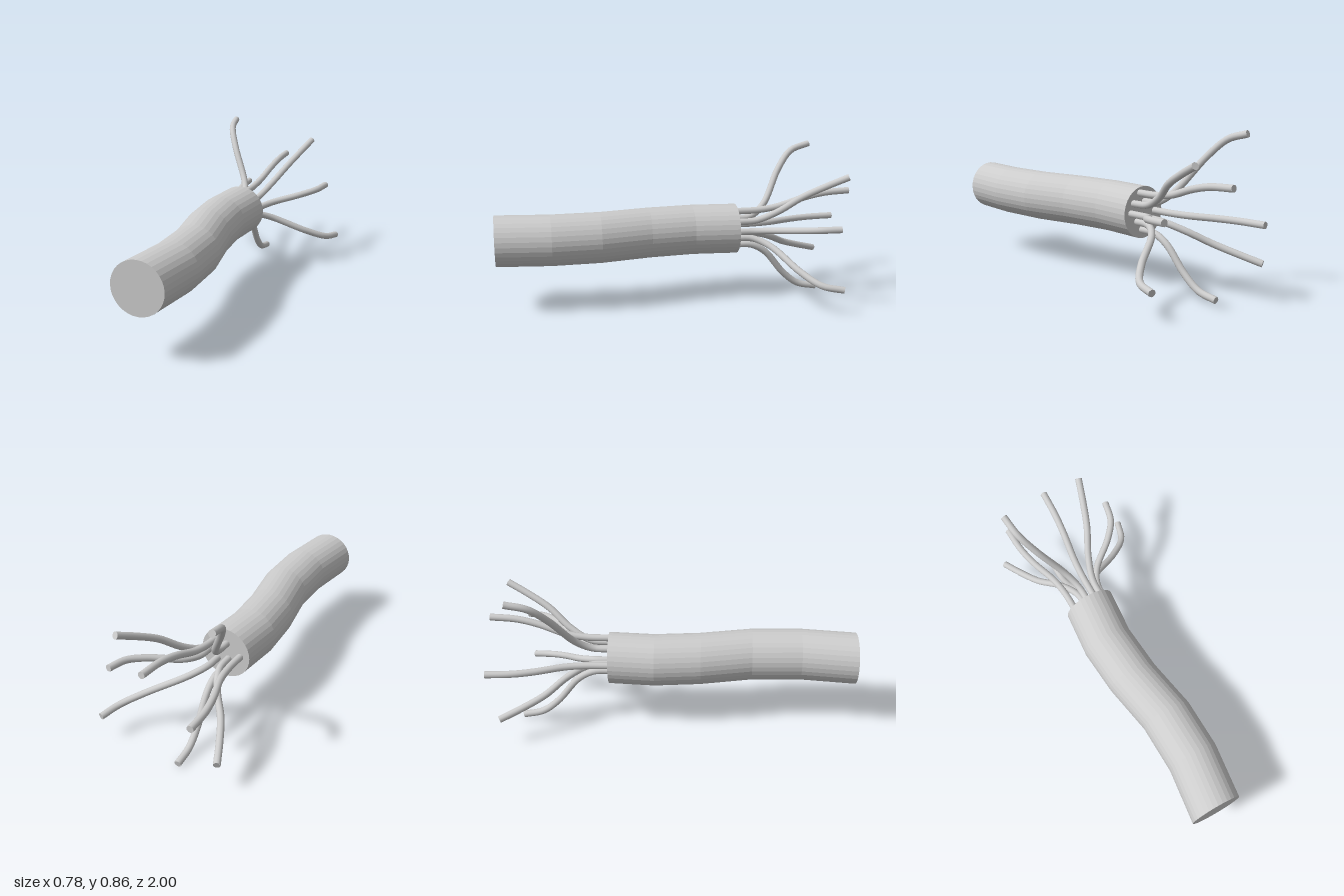
import * as THREE from 'three';

const AXIS_Y = 0.403, BODY_R = 0.141, WIRE_R = 0.019, BODY_END = -0.35;

// Ring centres of the bent sheath: [z, x]
const RINGS = [[1, -0.06], [0.7, -0.023], [0.43, -0.03], [0.15, -0.083], [-0.1, -0.104], [BODY_END, -0.084]];

// How a wire spreads: [fraction of length, fraction of spread]
const S_CURVE = [[0, 0], [0.2, 0.02], [0.37, 0.18], [0.6, 0.66], [0.78, 0.91], [1, 1]];
const LONG_CURVE = [[0, 0], [0.2, 0.03], [0.4, 0.24], [0.6, 0.57], [0.8, 0.8], [1, 1]];

// Wires: start x, y, then tip x, y, z, then spread curve
const WIRES = [
  [-0.09, 0.46, -0.313, 0.842, -0.85, S_CURVE],
  [-0.01, 0.457, 0.172, 0.73, -0.925, LONG_CURVE],
  [-0.055, 0.51, -0.021, 0.613, -1, S_CURVE],
  [0.01, 0.405, 0.293, 0.468, -0.85, S_CURVE],
  [-0.035, 0.357, 0.37, 0.148, -0.85, S_CURVE],
  [-0.072, 0.31, -0.094, 0.022, -0.85, S_CURVE],
  [-0.1, 0.372, -0.37, 0.177, -0.925, LONG_CURVE],
  [-0.17, 0.402, -0.277, 0.402, -1, S_CURVE],
];

export function createModel() {
  const group = new THREE.Group();
  const smooth = new THREE.MeshStandardMaterial({ color: 0xcccccc });
  const flat = new THREE.MeshStandardMaterial({ color: 0xcccccc, flatShading: true });

  // Sheath: a cylinder laid along z, each ring slid sideways
  const bodyGeo = new THREE.CylinderGeometry(BODY_R, BODY_R, RINGS.length - 1, 32, RINGS.length - 1);
  bodyGeo.rotateX(Math.PI / 2);
  const pos = bodyGeo.attributes.position;
  for (let i = 0; i < pos.count; i++) {
    const [z, x] = RINGS[Math.round((RINGS.length - 1) / 2 - pos.getZ(i))];
    pos.setXYZ(i, pos.getX(i) + x, pos.getY(i) + AXIS_Y, z);
  }
  bodyGeo.computeVertexNormals();
  const body = new THREE.Mesh(bodyGeo, flat);
  body.name = 'cableSheath';
  group.add(body);

  // Frayed wires fanning out of the back end
  WIRES.forEach(([x0, y0, x1, y1, z1, profile], i) => {
    const points = profile.map(([t, s]) => new THREE.Vector3(
      x0 + (x1 - x0) * s, y0 + (y1 - y0) * s, BODY_END + 0.01 + (z1 - BODY_END - 0.01) * t));
    const curve = new THREE.CatmullRomCurve3(points);
    const wire = new THREE.Group();
    wire.name = 'wire' + (i + 1);

    const strand = new THREE.Mesh(new THREE.TubeGeometry(curve, 28, WIRE_R, 12), smooth);
    strand.name = 'strand';
    const tip = new THREE.Mesh(new THREE.CircleGeometry(WIRE_R, 12), smooth);
    tip.name = 'cutTip';
    tip.position.copy(curve.getPoint(1));
    tip.quaternion.setFromUnitVectors(new THREE.Vector3(0, 0, 1), curve.getTangent(1));
    wire.add(strand, tip);
    group.add(wire);
  });

  return group;
}
